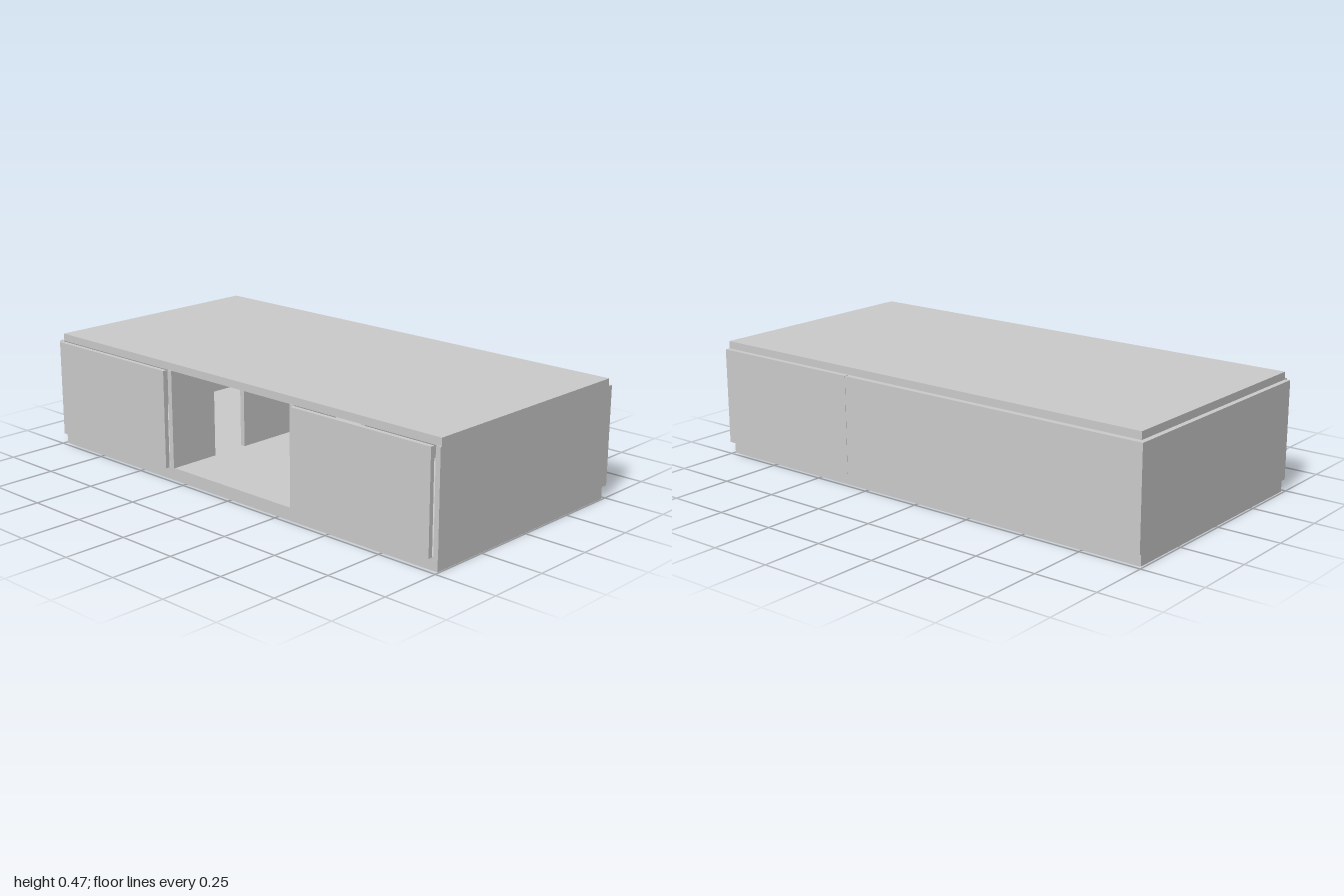
import * as THREE from 'three';

export function createModel() {
  const model = new THREE.Group();
  const material = new THREE.MeshStandardMaterial({ color: 0xcccccc, flatShading: true });

  // Box given by its min and max on each axis
  function board(name, [x0, x1], [y0, y1], [z0, z1]) {
    const mesh = new THREE.Mesh(new THREE.BoxGeometry(x1 - x0, y1 - y0, z1 - z0), material);
    mesh.position.set((x0 + x1) / 2, (y0 + y1) / 2, (z0 + z1) / 2);
    mesh.name = name;
    model.add(mesh);
  }

  const wall = [0.05, 0.44];

  // Plinth and top slab
  board('base', [-0.482, 0.482], [0, 0.05], [-0.99, 0.995]);
  board('top', [-0.482, 0.482], [0.44, 0.47], [-0.98, 1]);

  // End panels
  board('frontPanel', [-0.487, 0.503], wall, [0.98, 1]);
  board('backPanel', [-0.487, 0.505], wall, [-1, -0.98]);

  // Closed long side, split in two with a slight step
  board('leftSideFrontPanel', [0.482, 0.503], wall, [0.338, 0.98]);
  board('leftSideRearPanel', [0.482, 0.505], wall, [-0.98, 0.335]);

  for (const s of [-1, 1]) {
    const span = (a, b) => (s > 0 ? [a, b] : [-b, -a]);
    // Doors either side of the open middle bay
    board('door', [-0.507, -0.489], wall, span(0.338, 0.976));
    // Partitions with a gap between the outer and inner pieces
    board('outerPartition', [-0.487, -0.27], wall, span(0.315, 0.336));
    board('innerPartition', [-0.11, 0.482], wall, span(0.315, 0.336));
  }

  return model;
}
